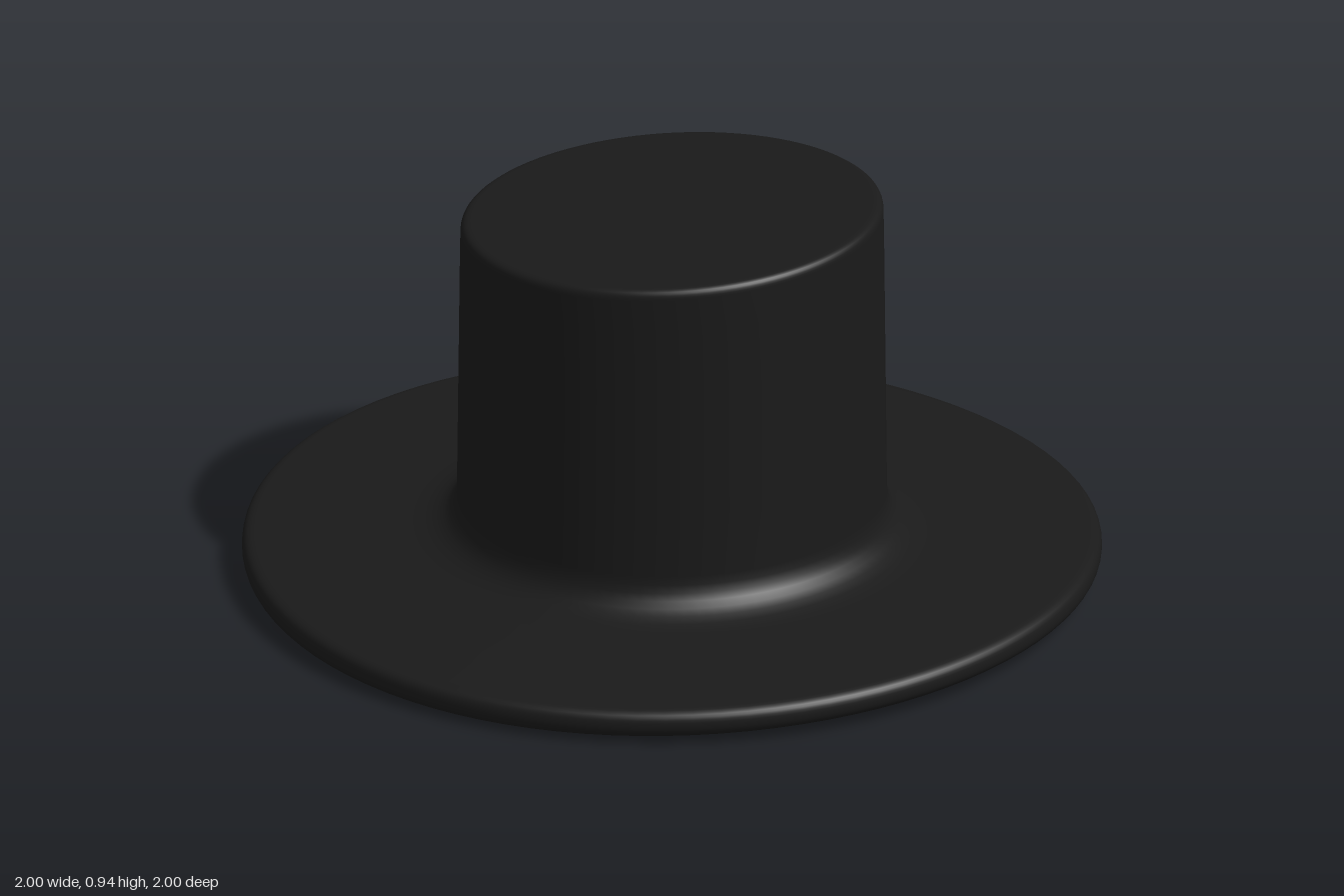
import * as THREE from 'three';
import { mergeVertices } from 'three/addons/utils/BufferGeometryUtils.js';

const felt = new THREE.MeshStandardMaterial({ color: 0x1a1a1a });

// Half section of the hat, from the centre of the underside to the centre of the top
function hatProfile() {
  const path = new THREE.Path();
  path.moveTo(0, 0);
  for (const r of [0.2, 0.4, 0.6, 0.8]) path.lineTo(r, 0.002 * r);
  path.lineTo(0.955, 0.003);
  path.bezierCurveTo(0.985, 0.005, 1, 0.018, 1, 0.04); // rounded brim edge
  path.bezierCurveTo(1, 0.062, 0.992, 0.074, 0.96, 0.076);
  path.lineTo(0.8, 0.086);
  path.lineTo(0.64, 0.098);
  path.bezierCurveTo(0.53, 0.108, 0.502, 0.14, 0.5, 0.2); // fillet up to the crown
  for (const y of [0.35, 0.5, 0.65, 0.8]) path.lineTo(0.5 - 0.011 * (y - 0.2), y);
  path.lineTo(0.492, 0.885);
  path.bezierCurveTo(0.492, 0.902, 0.484, 0.91, 0.467, 0.91); // rounded crown edge
  for (const r of [0.44, 0.25, 0]) path.lineTo(r, 0.911);
  return path.getPoints(8);
}

// Curls the brim up at front and back, and slants the crown towards the back
function bend(geometry) {
  const p = geometry.attributes.position;
  for (let i = 0; i < p.count; i++) {
    const y = p.getY(i), z = p.getZ(i);
    const t = THREE.MathUtils.smoothstep(y, 0.15, 0.88);
    p.setY(i, y + (1 - t) * 0.025 * z * z + t * 0.071 * z);
  }
}

export function createModel() {
  const group = new THREE.Group();
  group.name = 'hat';

  // Brim and crown in one continuous felt surface
  let geometry = new THREE.LatheGeometry(hatProfile(), 96);
  geometry.deleteAttribute('uv');
  geometry.deleteAttribute('normal');
  geometry = mergeVertices(geometry, 1e-5);
  bend(geometry);
  geometry.computeVertexNormals();

  const hat = new THREE.Mesh(geometry, felt);
  hat.name = 'brimAndCrown';
  group.add(hat);
  return group;
}
